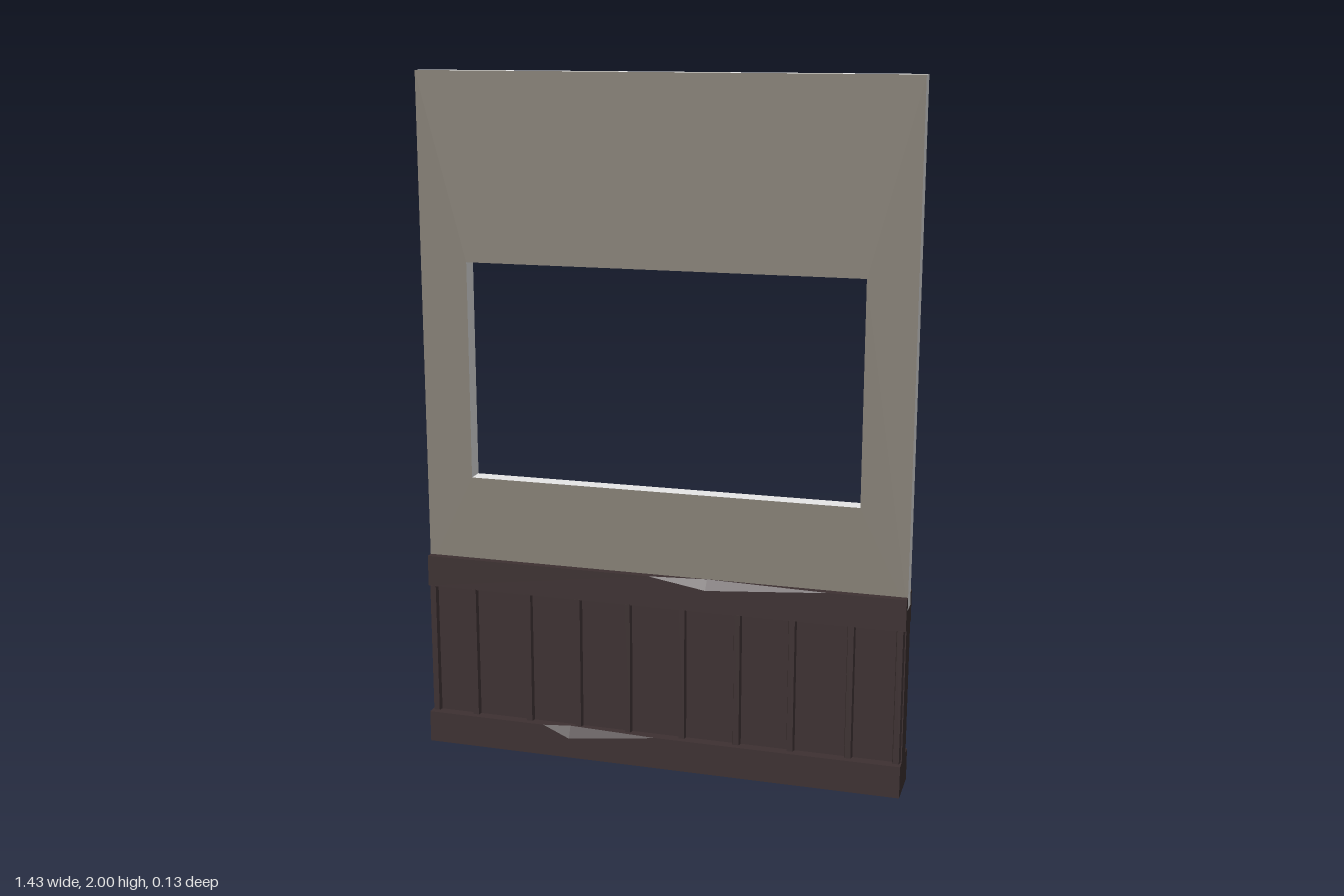
import * as THREE from 'three';

const HALF = 0.715; // half the wall length

// Bar along x whose outer top edge is chipped at the given sections [x, drop, inset]
function chippedBar(zIn, zOut, y0, y1, sections) {
  const rings = sections.map(([x, dy, dz]) => [
    [x, y0, zIn], [x, y0, zOut], [x, y1 - dy, zOut], [x, y1, zOut - dz], [x, y1, zIn],
  ]);
  const pos = [];
  const tri = (a, b, c) => pos.push(...a, ...b, ...c);
  for (let i = 0; i < rings.length - 1; i++) {
    const a = rings[i], b = rings[i + 1];
    for (let j = 0; j < 5; j++) {
      const k = (j + 1) % 5;
      tri(a[j], b[k], a[k]);
      tri(a[j], b[j], b[k]);
    }
  }
  const first = rings[0], last = rings[rings.length - 1];
  for (let j = 1; j < 4; j++) {
    tri(first[0], first[j], first[j + 1]);
    tri(last[0], last[j + 1], last[j]);
  }
  const g = new THREE.BufferGeometry();
  g.setAttribute('position', new THREE.Float32BufferAttribute(pos, 3));
  g.computeVertexNormals();
  return g;
}

// Upright strip with bevelled sides, standing on y = 0 and facing +z
function battenGeometry(width, depth, height) {
  const w = width / 2;
  const s = new THREE.Shape([
    new THREE.Vector2(-w, 0), new THREE.Vector2(w, 0),
    new THREE.Vector2(w * 0.6, -depth), new THREE.Vector2(-w * 0.6, -depth),
  ]);
  const g = new THREE.ExtrudeGeometry(s, { depth: height, bevelEnabled: false });
  return g.rotateX(-Math.PI / 2);
}

export function createModel() {
  const plaster = new THREE.MeshStandardMaterial({ color: 0x857f75 });
  plaster.name = 'plaster';
  const edge = new THREE.MeshStandardMaterial({ color: 0xe7e7e7 });
  edge.name = 'pale edge';
  const wood = new THREE.MeshStandardMaterial({ color: 0x3d3132, side: THREE.DoubleSide });
  wood.name = 'dark wood';

  const model = new THREE.Group();
  const add = (parent, name, geometry, material) => {
    const m = new THREE.Mesh(geometry, material);
    m.name = name;
    parent.add(m);
    return m;
  };

  // Plaster wall with window opening; cut edges are pale
  const rect = (C, x, y0, y1) => new C([
    new THREE.Vector2(-x, y0), new THREE.Vector2(x, y0),
    new THREE.Vector2(x, y1), new THREE.Vector2(-x, y1),
  ]);
  const outline = rect(THREE.Shape, HALF, 0.545, 2);
  outline.holes.push(rect(THREE.Path, 0.575, 0.83, 1.465));
  const wall = new THREE.ExtrudeGeometry(outline, { depth: 0.05, bevelEnabled: false });
  wall.translate(0, 0, -0.025);
  add(model, 'wall', wall, [plaster, edge]);

  // Panelling core
  const core = new THREE.BoxGeometry(HALF * 2, 0.5, 0.072);
  core.translate(0, 0.295, 0);
  add(model, 'panelCore', core, wood);

  // Rail, skirting and battens on each face; the back is turned half round
  const ends = (chips) => [[-HALF, 0, 0], ...chips, [HALF, 0, 0]];
  const sides = [
    {
      name: 'front', turn: 0, lean: 0.004,
      rail: [[-0.03, 0, 0], [0.14, 0.028, 0.021], [0.5, 0, 0]],
      skirt: [[-0.35, 0, 0], [-0.27, 0.035, 0.016], [0, 0, 0]],
    },
    {
      name: 'back', turn: Math.PI, lean: 0.016,
      rail: [[0.1, 0, 0], [0.28, 0.025, 0.018], [0.42, 0, 0]],
      skirt: [[-0.07, 0, 0], [0.02, 0.015, 0.008], [0.12, 0, 0]],
    },
  ];
  const battenX = [-0.7, -0.572, -0.4, -0.246, -0.093, 0.071, 0.235, 0.394, 0.562, 0.7];
  const batten = battenGeometry(0.028, 0.02, 0.4);

  for (const s of sides) {
    const side = new THREE.Group();
    side.name = s.name + 'Panelling';
    side.rotation.y = s.turn;
    add(side, 'topRail', chippedBar(0.025, 0.047, 0.49, 0.583, ends(s.rail)), wood);
    add(side, 'skirting', chippedBar(0, 0.067, 0, 0.095, ends(s.skirt)), wood);
    battenX.forEach((x, i) => {
      const b = add(side, 'batten', batten, wood);
      b.position.set(s.turn ? -x : x, 0.092, 0.029);
      // Slightly uneven lean, as hand fitted
      b.rotation.x = -s.lean * (i % 3) / 2;
    });
    model.add(side);
  }
  return model;
}
